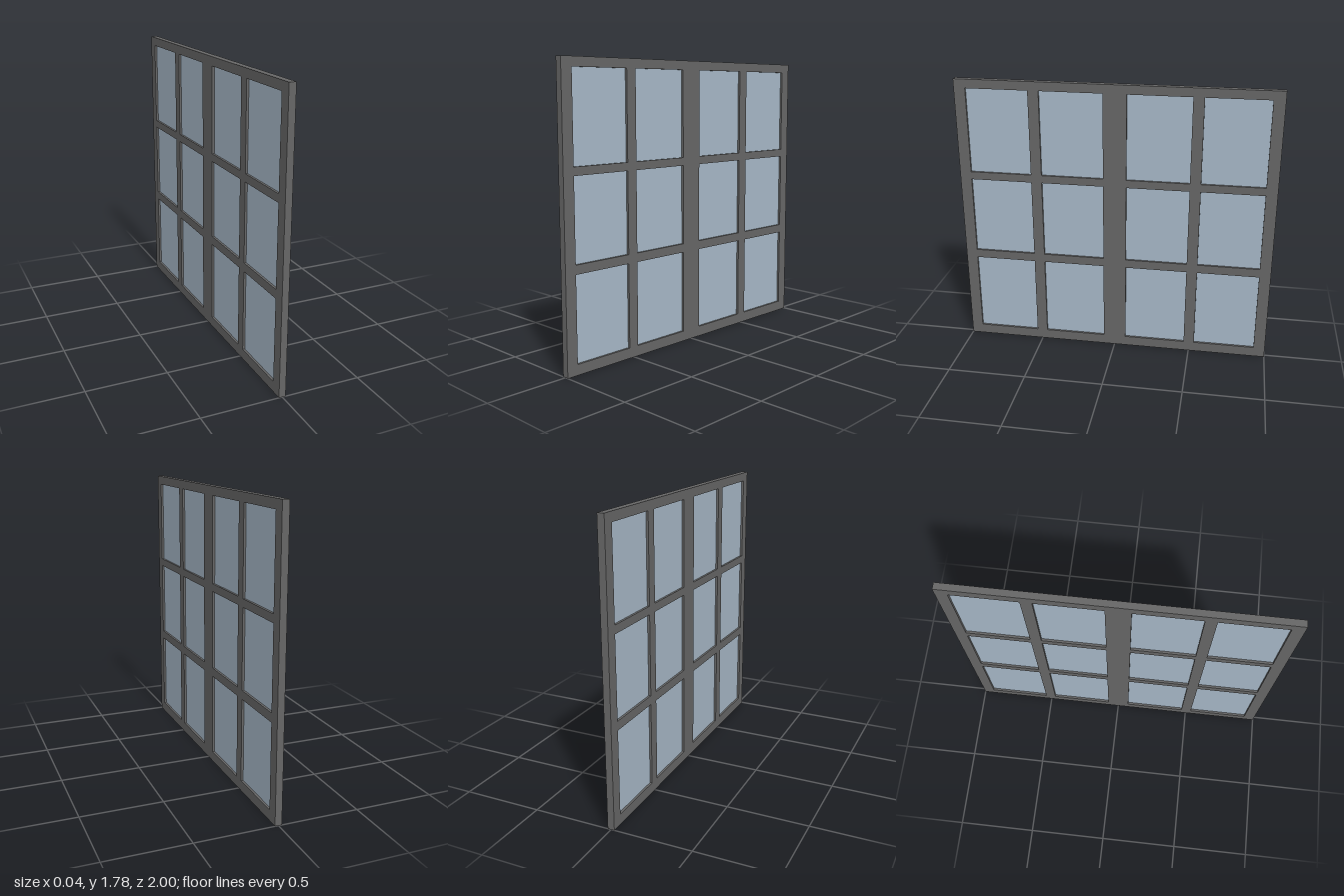
import * as THREE from 'three';

const HEIGHT = 1.78, DEPTH = 0.042, GLASS_DEPTH = 0.014;
// Openings as [low, high] along the width (mirrored about the middle) and the height
const half = [[0.073, 0.467], [0.535, 0.928]];
const columns = [...half.map(([a, b]) => [-b, -a]), ...half];
const rows = [[0.064, 0.582], [0.637, 1.134], [1.184, 1.724]];

function rectangle(path, x0, y0, x1, y1) {
  path.moveTo(x0, y0);
  path.lineTo(x1, y0);
  path.lineTo(x1, y1);
  path.lineTo(x0, y1);
  path.closePath();
  return path;
}

export function createModel() {
  const model = new THREE.Group();
  model.name = 'window';
  const frameMaterial = new THREE.MeshStandardMaterial({ color: 0x666666 });
  const glassMaterial = new THREE.MeshStandardMaterial({ color: 0xa6b7c6 });

  const outline = rectangle(new THREE.Shape(), -1, 0, 1, HEIGHT);
  const panes = new THREE.Group();
  panes.name = 'glassPanes';

  // One opening and one recessed pane per grid cell
  for (const [x0, x1] of columns) {
    for (const [y0, y1] of rows) {
      outline.holes.push(rectangle(new THREE.Path(), x0, y0, x1, y1));
      const pane = new THREE.Mesh(
        new THREE.BoxGeometry(GLASS_DEPTH, y1 - y0, x1 - x0), glassMaterial);
      pane.name = 'glassPane';
      pane.position.set(0, (y0 + y1) / 2, (x0 + x1) / 2);
      panes.add(pane);
    }
  }

  // Frame with its mullions and rails, turned so that its width runs along z
  const geometry = new THREE.ExtrudeGeometry(outline, { depth: DEPTH, bevelEnabled: false });
  geometry.translate(0, 0, -DEPTH / 2);
  geometry.rotateY(Math.PI / 2);
  const frame = new THREE.Mesh(geometry, frameMaterial);
  frame.name = 'frame';

  model.add(frame, panes);
  return model;
}
